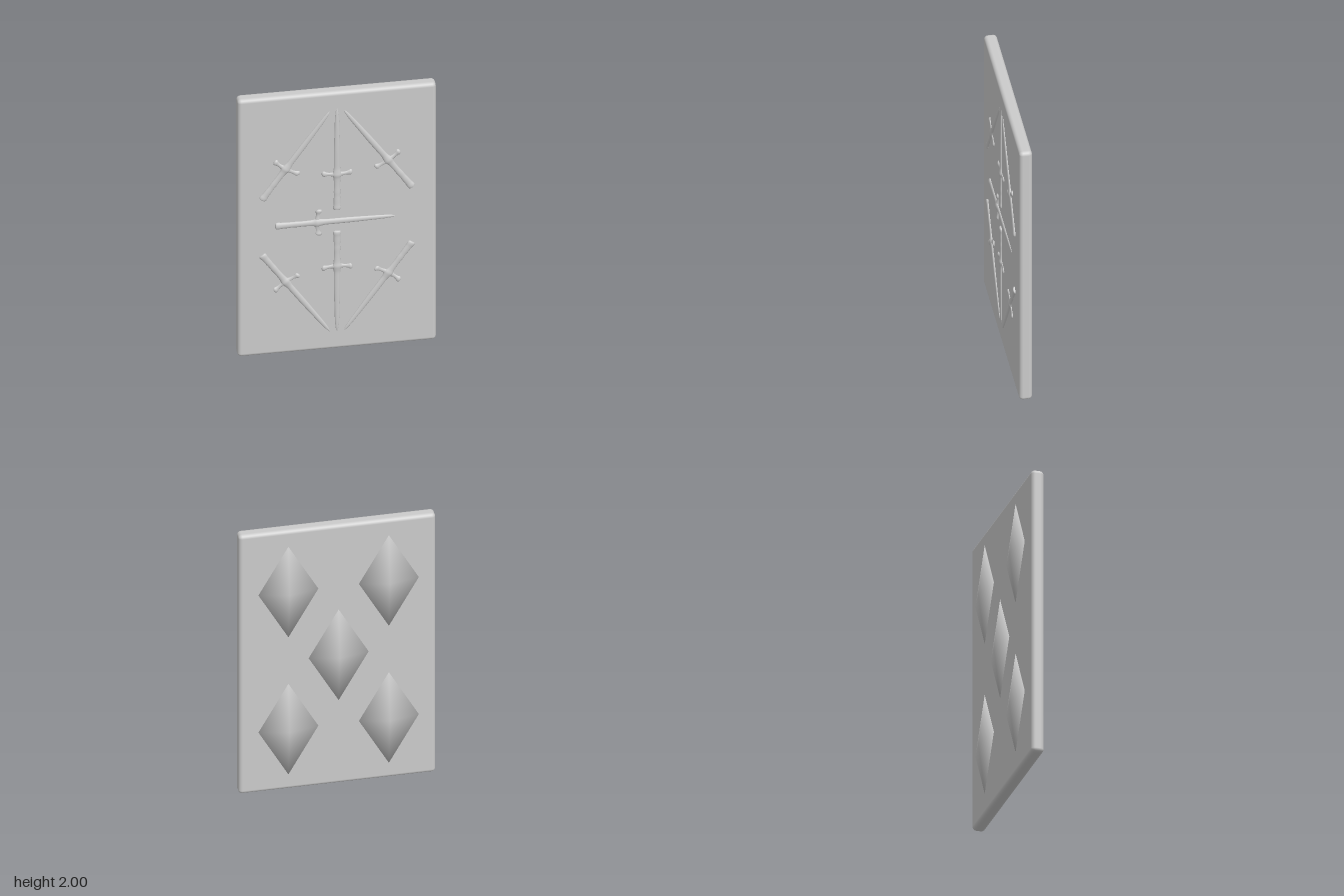
import * as THREE from 'three';
import { RoundedBoxGeometry } from 'three/addons/geometries/RoundedBoxGeometry.js';
import { mergeVertices } from 'three/addons/utils/BufferGeometryUtils.js';

const material = new THREE.MeshStandardMaterial({ color: 0xcccccc });
const FRONT = 0.0625, BACK = -0.0225;
const RELIEF = 0.57; // flattening of the raised swords

function add(parent, geometry, name) {
  const mesh = new THREE.Mesh(geometry, material);
  mesh.name = name;
  parent.add(mesh);
  return mesh;
}

// Smooth turned shape from [radius, height] pairs
function turned(profile, steps) {
  const curve = new THREE.SplineCurve(profile.map(([r, y]) => new THREE.Vector2(r, y)));
  const points = curve.getPoints(steps).map((p) => new THREE.Vector2(Math.max(p.x, 0), p.y));
  return new THREE.LatheGeometry(points, 16);
}

// Pommel, grip and blade along y; the guard crosses at y = 0
const bladeGeometry = turned([
  [0, -0.279], [0.021, -0.277], [0.026, -0.262], [0.023, -0.238], [0.022, -0.2],
  [0.0205, -0.17], [0.0215, -0.14], [0.02, -0.1], [0.021, -0.06], [0.024, -0.03],
  [0.031, -0.006], [0.026, 0.018], [0.021, 0.045], [0.0205, 0.1], [0.02, 0.2],
  [0.017, 0.32], [0.014, 0.42], [0.009, 0.48], [0, 0.51],
], 72);

// Crossguard with knobbed ends bent slightly towards the blade
const guardGeometry = turned([
  [0, -0.101], [0.015, -0.097], [0.0205, -0.086], [0.016, -0.073], [0.0125, -0.058],
  [0.014, -0.035], [0.022, 0], [0.014, 0.035], [0.0125, 0.058],
  [0.016, 0.073], [0.0205, 0.086], [0.015, 0.097], [0, 0.101],
], 48);
guardGeometry.rotateZ(Math.PI / 2);
const gp = guardGeometry.attributes.position;
for (let i = 0; i < gp.count; i++) {
  gp.setY(i, gp.getY(i) + 1.3 * gp.getX(i) ** 2 - 0.004);
}

// Half-sunk sword between its pommel end and its tip
function sword(pommel, tip) {
  const group = new THREE.Group();
  group.name = 'sword';
  const dx = tip[0] - pommel[0], dy = tip[1] - pommel[1];
  const size = Math.hypot(dx, dy) / 0.789;
  const along = 0.279 / 0.789;
  group.position.set(pommel[0] + dx * along, pommel[1] + dy * along, FRONT);
  group.rotation.z = Math.atan2(dy, dx) - Math.PI / 2;
  group.scale.set(size, size, RELIEF);
  add(group, bladeGeometry, 'bladeAndGrip');
  add(group, guardGeometry, 'crossguard');
  return group;
}

// Low four-sided pyramid with shared, smoothed corners, apex towards -z
function diamond() {
  let geometry = new THREE.ConeGeometry(1, 1, 4, 1);
  geometry.deleteAttribute('normal');
  geometry.deleteAttribute('uv');
  geometry.rotateX(-Math.PI / 2);
  geometry.scale(0.197, 0.351, 0.043);
  geometry = mergeVertices(geometry, 1e-4);
  geometry.computeVertexNormals();
  return geometry;
}

export function createModel() {
  const model = new THREE.Group();
  model.name = 'swordTablet';

  // Slab with rounded edges
  const slab = add(model, new RoundedBoxGeometry(1.294, 2, FRONT - BACK, 4, 0.026), 'slab');
  slab.position.set(0, 1, (FRONT + BACK) / 2);

  // Swords on the front
  const swords = new THREE.Group();
  swords.name = 'swords';
  model.add(swords);
  swords.add(
    sword([0, 1.088], [0, 1.878]),
    sword([0, 0.923], [0, 0.137]),
    sword([-0.403, 1], [0.383, 1]),
  );
  for (const side of [-1, 1]) {
    swords.add(
      sword([side * 0.49, 1.214], [side * 0.044, 1.86]),
      sword([side * 0.49, 0.786], [side * 0.044, 0.14]),
    );
  }

  // Five diamonds on the back
  const geometry = diamond();
  for (const [x, y] of [[0, 0], [-1, 1], [1, 1], [-1, -1], [1, -1]]) {
    const mesh = add(model, geometry, 'diamond');
    mesh.position.set(-0.006 + x * 0.33, 1.006 + y * 0.531, -0.0565);
  }
  return model;
}
